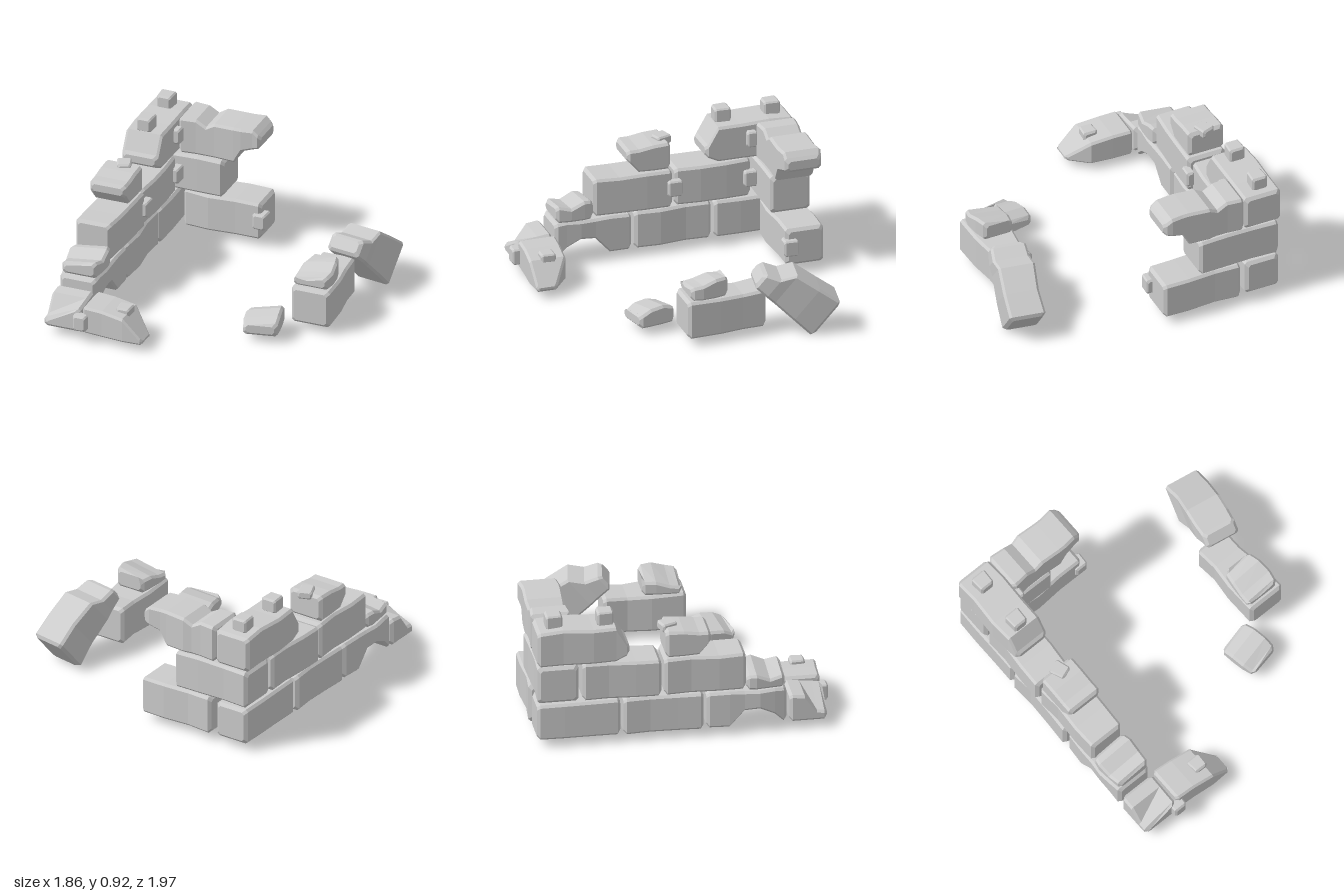
import * as THREE from 'three';

const material = new THREE.MeshStandardMaterial({ color: 0xcccccc, flatShading: true, side: THREE.DoubleSide });

// Lofted stone with bevelled edges. Each station is [t, yLow, yHigh, wLow, wHigh] with t rising
// along the axis ('x' or 'z') and w across it. tweak(p) may move single corners.
function stone(name, axis, stations, bevel = 0.02, tweak = null) {
  const first = stations[0], last = stations[stations.length - 1];
  const inset = (s, t) => [t, s[1] + bevel, s[2] - bevel, s[3] + bevel, s[4] - bevel];
  const rings = [
    inset(first, first[0]), [first[0] + bevel, ...first.slice(1)],
    ...stations.slice(1, -1),
    [last[0] - bevel, ...last.slice(1)], inset(last, last[0]),
  ];
  const pos = [], idx = [];
  const put = (t, y, w) => {
    const p = axis === 'x' ? new THREE.Vector3(t, y, w) : new THREE.Vector3(w, y, t);
    if (tweak) tweak(p);
    pos.push(p.x, p.y, p.z);
  };
  const tri = (a, b, c) => (axis === 'x' ? idx.push(a, c, b) : idx.push(a, b, c));
  for (const [t, lo, hi, a, b] of rings) {
    const c = bevel * 0.8;
    const section = [[b, lo + c], [b, hi - c], [b - c, hi], [a + c, hi], [a, hi - c], [a, lo + c], [a + c, lo], [b - c, lo]];
    for (const [w, y] of section) put(t, y, w);
  }
  const n = 8, m = rings.length;
  for (let i = 0; i < m - 1; i++) {
    for (let j = 0; j < n; j++) {
      const k = (j + 1) % n, p = i * n, q = p + n;
      tri(p + j, p + k, q + k);
      tri(p + j, q + k, q + j);
    }
  }
  for (let j = 1; j < n - 1; j++) {
    tri(0, j + 1, j);
    tri((m - 1) * n, (m - 1) * n + j, (m - 1) * n + j + 1);
  }
  const geo = new THREE.BufferGeometry();
  geo.setAttribute('position', new THREE.Float32BufferAttribute(pos, 3));
  geo.setIndex(idx);
  geo.computeVertexNormals();
  const mesh = new THREE.Mesh(geo, material);
  mesh.name = name;
  return mesh;
}

// Whole brick with slightly uneven faces
let seed = 7;
const wobble = () => ((seed = (seed * 16807) % 2147483647) / 2147483647 - 0.5) * 0.024;
function brick(name, axis, t0, t1, lo, hi, a, b) {
  const stations = [0, 0.33, 0.67, 1].map((f) =>
    [t0 + (t1 - t0) * f, lo, hi + wobble() * 0.5, a + wobble(), b + wobble()]);
  return stone(name, axis, stations);
}

// Small cube stone given by centre and size
function chip(x, y, z, sx, sy, sz, turn = 0) {
  const mesh = stone('smallStone', 'z', [
    [-sz / 2, -sy / 2, sy / 2, -sx / 2, sx / 2],
    [sz / 2, -sy / 2, sy / 2, -sx * 0.45, sx * 0.46]], 0.012);
  mesh.position.set(x, y, z);
  mesh.rotation.y = turn;
  return mesh;
}

export function createModel() {
  const model = new THREE.Group();
  model.name = 'ruinedWall';
  const L = -0.91, R = -0.655;

  // Side wall, whole bricks
  model.add(
    brick('lowerCornerBrick', 'z', -0.97, -0.42, 0.05, 0.305, L, R),
    brick('lowerSideBrick', 'z', -0.4, 0.13, 0.05, 0.305, L, R),
    brick('middleSideBrick', 'z', -0.67, -0.15, 0.315, 0.575, L, R),
    brick('middleSideBrick', 'z', -0.13, 0.41, 0.315, 0.575, L, R),
  );

  // Side wall, broken bricks
  model.add(
    stone('hollowedLowerBrick', 'z', [
      [0.15, 0.05, 0.3, L, R], [0.3, 0.05, 0.305, L - 0.01, R], [0.4, 0.16, 0.3, L - 0.01, R],
      [0.5, 0.17, 0.3, L - 0.02, R + 0.005], [0.6, 0.12, 0.305, L - 0.01, R], [0.68, 0.06, 0.3, L, R]]),
    stone('brokenMiddleStub', 'z', [
      [0.415, 0.305, 0.435, L, R], [0.48, 0.305, 0.44, L - 0.01, R + 0.01],
      [0.57, 0.305, 0.4, L, R + 0.01], [0.67, 0.305, 0.42, L + 0.01, R]], 0.02,
    (p) => { if (p.y > 0.37 && p.x < -0.8) p.y -= 0.03; }),
    stone('brokenUpperBrick', 'z', [
      [-0.12, 0.585, 0.77, L, R], [0.0, 0.585, 0.765, L, R], [0.1, 0.59, 0.75, L, R], [0.18, 0.66, 0.75, L, R]]),
    stone('upperCornerBrick', 'z', [
      [-0.97, 0.585, 0.83, L - 0.005, R], [-0.8, 0.585, 0.84, L, R + 0.005], [-0.6, 0.585, 0.83, L - 0.01, R],
      [-0.45, 0.585, 0.83, L, R], [-0.36, 0.62, 0.71, L, R]]),
  );

  // Front return, with a worn corner and a sloping end
  model.add(
    stone('frontCornerStone', 'z', [
      [0.7, 0.05, 0.24, L, R], [0.8, 0.05, 0.23, L, R], [0.88, 0.05, 0.22, L, R], [0.95, 0.05, 0.215, L, R]], 0.02,
    (p) => { if (p.y > 0.15 && p.x < -0.8 && p.z > 0.85) p.y -= 0.1; }),
    stone('frontReturnStone', 'x', [
      [-0.64, 0.05, 0.24, 0.69, 0.945], [-0.5, 0.045, 0.235, 0.7, 0.95],
      [-0.35, 0.045, 0.215, 0.715, 0.965], [-0.21, 0.045, 0.09, 0.81, 0.96]], 0.018),
  );

  // Back return
  model.add(
    brick('lowerBackBrick', 'x', -0.62, -0.07, 0.05, 0.31, -0.97, -0.71),
    brick('middleBackBrick', 'x', -0.9, -0.33, 0.315, 0.575, -0.97, -0.7),
    stone('brokenTopBackBrick', 'x', [
      [-0.65, 0.585, 0.84, -0.97, -0.7], [-0.53, 0.585, 0.84, -0.96, -0.71], [-0.46, 0.585, 0.8, -0.96, -0.71],
      [-0.4, 0.585, 0.835, -0.97, -0.71], [-0.26, 0.585, 0.84, -0.96, -0.7], [-0.21, 0.675, 0.84, -0.96, -0.7],
      [-0.13, 0.7, 0.84, -0.97, -0.71], [-0.075, 0.71, 0.81, -0.96, -0.71]]),
  );

  // Small stones sticking out of the walls
  const chips = [
    [-0.795, 0.87, -0.85, 0.11, 0.1, 0.11], [-0.795, 0.87, -0.51, 0.11, 0.1, 0.11],
    [-0.775, 0.76, -0.09, 0.1, 0.06, 0.11, 0.35], [-0.64, 0.73, -0.67, 0.06, 0.11, 0.07],
    [-0.64, 0.45, -0.66, 0.06, 0.11, 0.09], [-0.64, 0.455, -0.14, 0.06, 0.11, 0.1],
    [-0.645, 0.135, 0.955, 0.1, 0.11, 0.075], [-0.08, 0.185, -0.74, 0.1, 0.11, 0.1],
    [-0.38, 0.22, 0.835, 0.1, 0.06, 0.1],
  ];
  for (const c of chips) model.add(chip(...c));

  // Fallen blocks on the other side
  model.add(
    stone('fallenBlock', 'z', [
      [-0.28, 0.05, 0.31, 0.55, 0.785], [-0.12, 0.05, 0.3, 0.565, 0.79],
      [0.04, 0.05, 0.305, 0.55, 0.815], [0.27, 0.05, 0.31, 0.555, 0.825]]),
    stone('fallenStub', 'z', [
      [-0.02, 0.305, 0.44, 0.57, 0.78], [0.07, 0.305, 0.44, 0.56, 0.8],
      [0.16, 0.305, 0.41, 0.555, 0.81], [0.24, 0.305, 0.4, 0.555, 0.8]], 0.02,
    (p) => { if (p.y > 0.37 && p.x < 0.6) p.y -= 0.04; }),
  );

  // Leaning block, tipped back onto the ground
  const leaning = stone('leaningBlock', 'z', [
    [-0.23, -0.115, 0.185, -0.12, 0.125], [-0.05, -0.1, 0.175, -0.11, 0.13], [0.13, -0.085, 0.16, -0.125, 0.125],
    [0.2, -0.08, 0.075, -0.12, 0.13], [0.31, -0.075, 0.045, -0.12, 0.12]]);
  leaning.position.set(0.765, 0.22, -0.48);
  leaning.rotation.set(-0.7, -0.17, 0, 'YXZ');
  model.add(leaning);

  // Loose rubble stone, peaked towards one side
  const rubble = stone('rubbleStone', 'z', [
    [-0.13, 0.045, 0.16, -0.12, 0.115], [-0.04, 0.045, 0.18, -0.125, 0.12],
    [0.05, 0.045, 0.17, -0.125, 0.12], [0.13, 0.045, 0.14, -0.115, 0.115]], 0.02,
  (p) => { if (p.y > 0.12 && p.x < -0.08) p.y -= 0.035; });
  rubble.position.set(0.42, 0, 0.405);
  rubble.rotation.y = 0.2;
  model.add(rubble);

  return model;
}
